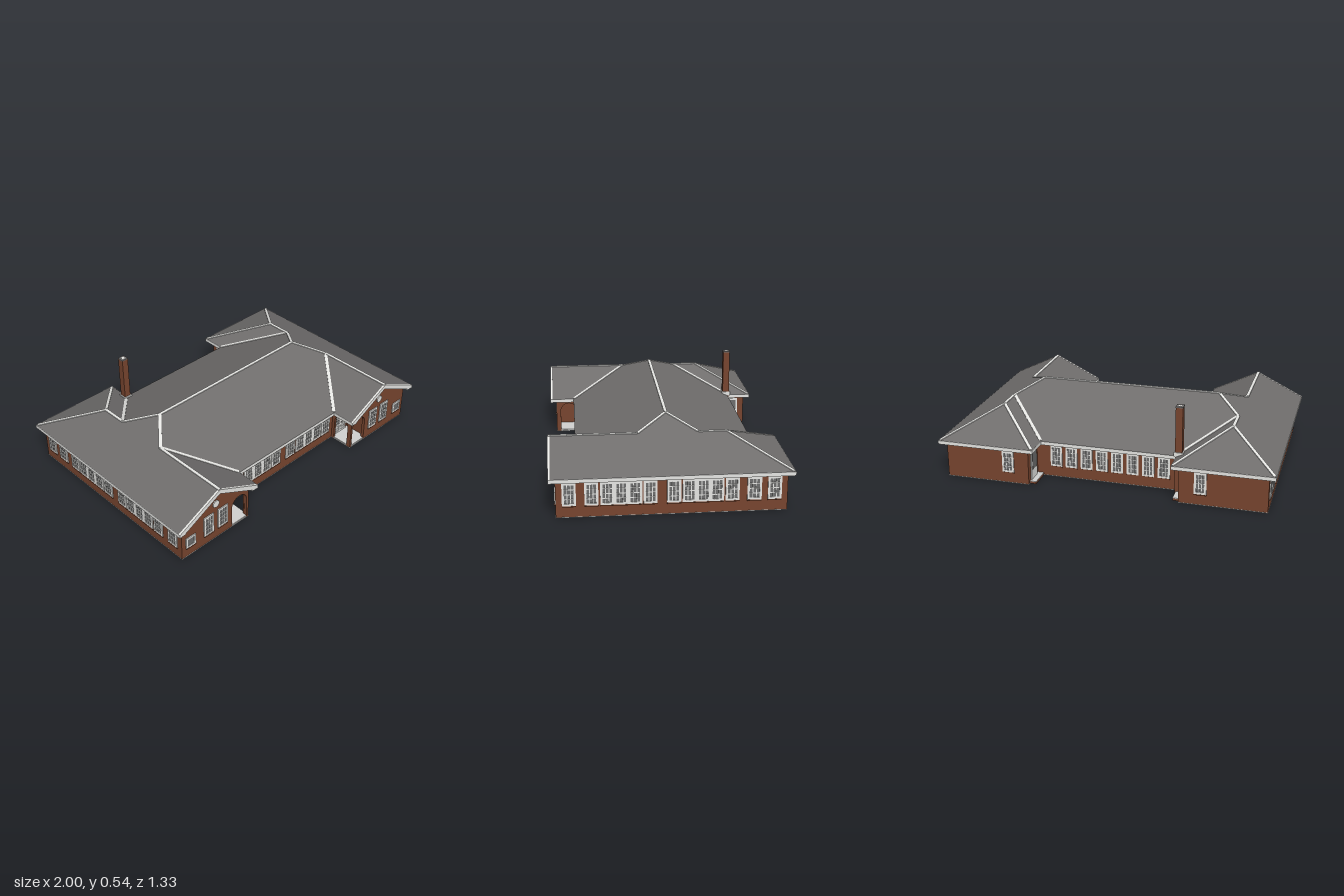
import * as THREE from 'three';

const mat = (name, color) => {
  const m = new THREE.MeshStandardMaterial({ color });
  m.name = name;
  return m;
};

export function createModel() {
  const brick = mat('brick', 0x78452f), trim = mat('trim', 0xe6e6e3);
  const roofing = mat('roofing', 0x706e6d), glass = mat('glass', 0x6d6d6d);
  const concrete = mat('concrete', 0xd2d2d0);
  roofing.side = THREE.DoubleSide;
  const root = new THREE.Group();
  root.name = 'building';

  const add = (name, geo, material, parent = root) => {
    const m = new THREE.Mesh(geo, material);
    m.name = name;
    parent.add(m);
    return m;
  };
  // Box given by its limits; limits may come in either order
  const box = (name, m, x0, x1, y0, y1, z0, z1, parent) => {
    const b = add(name, new THREE.BoxGeometry(Math.abs(x1 - x0), y1 - y0, Math.abs(z1 - z0)), m, parent);
    b.position.set((x0 + x1) / 2, (y0 + y1) / 2, (z0 + z1) / 2);
    return b;
  };
  const poly = pts => new THREE.Shape(pts.map(([x, y]) => new THREE.Vector2(x, y)));
  const rect = (x0, x1, y0, y1) => poly([[x0, y0], [x1, y0], [x1, y1], [x0, y1]]);
  const extrude = (shape, depth) => new THREE.ExtrudeGeometry(shape, { depth, bevelEnabled: false });
  // Points of a round arch from its right foot to its left foot
  const archPts = (cx, r, spring, foot) => {
    const pts = [[cx + r, foot]];
    for (let i = 0; i <= 14; i++) {
      const a = Math.PI * i / 14;
      pts.push([cx + r * Math.cos(a), spring + r * Math.sin(a)]);
    }
    pts.push([cx - r, foot]);
    return pts;
  };
  const panel = (name, x, y, z, ry) => {
    const g = new THREE.Group();
    g.name = name;
    g.position.set(x, y, z);
    g.rotation.y = ry;
    root.add(g);
    return g;
  };

  // Window: glass plate behind a frame with a grid of openings, on a brick sill
  const windowAt = (x, y, z, ry, w, h, cols = 3, rows = 4) => {
    const g = panel('window', x, y, z, ry);
    const f = 0.012, bar = 0.004;
    const s = rect(-w / 2, w / 2, -h / 2, h / 2);
    const cw = (w - 2 * f - bar * (cols - 1)) / cols, ch = (h - 2 * f - bar * (rows - 1)) / rows;
    for (let i = 0; i < cols; i++) for (let j = 0; j < rows; j++) {
      const px = -w / 2 + f + i * (cw + bar), py = -h / 2 + f + j * (ch + bar);
      s.holes.push(rect(px, px + cw, py, py + ch));
    }
    add('windowFrame', extrude(s, 0.006), trim, g);
    box('windowGlass', glass, -w / 2 + 0.002, w / 2 - 0.002, -h / 2 + 0.002, h / 2 - 0.002, 0, 0.003, g);
    box('windowSill', brick, -w / 2, w / 2, -h / 2 - 0.006, -h / 2, 0, 0.007, g);
  };
  // Row of windows along a wall; wide entries become three joined windows
  const windowRow = (spans, place) => spans.forEach(([a, b]) => {
    const n = Math.abs(b - a) > 0.15 ? 3 : 1, w = (b - a) / n;
    for (let i = 0; i < n; i++) place(a + w * (i + 0.5), Math.abs(w));
  });

  // Arched double door with fanlight
  const doorAt = (x, z, r) => {
    const g = panel('archedDoor', x, 0.012, z, 0), spring = 0.13;
    const s = poly(archPts(0, r, spring, 0));
    for (const d of [-1, 1]) {
      for (let i = 0; i < 2; i++) for (let j = 0; j < 3; j++) {
        const px = d * (0.009 + i * 0.02), py = 0.06 + j * 0.021;
        s.holes.push(rect(px, px + d * 0.014, py, py + 0.016));
      }
      s.holes.push(rect(d * 0.007, d * 0.046, 0.012, 0.05));
      box('doorPanel', trim, d * 0.011, d * 0.042, 0.016, 0.029, 0, 0.006, g);
      box('doorPanel', trim, d * 0.011, d * 0.042, 0.033, 0.046, 0, 0.006, g);
    }
    for (let k = 0; k < 4; k++) {
      const a0 = Math.PI * k / 4 + 0.06, a1 = Math.PI * (k + 1) / 4 - 0.06;
      const ring = [];
      for (let i = 0; i <= 4; i++) ring.push([a0 + (a1 - a0) * i / 4, r - 0.008]);
      ring.push([a1, 0.016], [a0, 0.016]);
      s.holes.push(poly(ring.map(([a, q]) => [q * Math.cos(a), spring + 0.003 + q * Math.sin(a)])));
    }
    add('doorLeaves', extrude(s, 0.008), trim, g);
    add('doorGlass', extrude(poly(archPts(0, r - 0.002, spring, 0.002)), 0.003), glass, g);
  };

  // Roof planes: outline in x,z lifted by a height rule
  const mainH = (x, z) => 0.4513 - 0.42 * Math.abs(z);
  const outerH = x => 0.38 - 0.4915 * (Math.abs(x) - 0.705);
  const innerH = x => 0.38 - 0.4915 * (0.705 - Math.abs(x));
  const hipH = (x, z) => 0.235 + 0.433 * (z + 0.665);
  const roofFace = (name, pts, h) => {
    const geo = new THREE.ShapeGeometry(poly(pts.map(([x, z]) => [x, -z])));
    const p = geo.attributes.position;
    for (let i = 0; i < p.count; i++) p.setXYZ(i, p.getX(i), h(p.getX(i), -p.getY(i)), -p.getY(i));
    geo.computeVertexNormals();
    add(name, geo, roofing);
  };
  // Light strip lying along a ridge, hip or valley
  const cap = (a, b, lift = 0.001) => {
    const A = new THREE.Vector3(...a), B = new THREE.Vector3(...b);
    const m = add('ridgeStrip', new THREE.BoxGeometry(0.019, 0.004, A.distanceTo(B)), trim);
    m.position.copy(A).lerp(B, 0.5);
    m.lookAt(B);
    m.position.y += lift;
  };

  // Central block
  box('mainWalls', brick, -0.5, 0.5, 0.003, 0.234, -0.475, 0.475);
  box('mainBase', concrete, -0.47, 0.47, 0, 0.004, -0.476, 0.476);
  for (const d of [-1, 1]) {
    roofFace('mainRoof', [[-0.56, 0], [0.56, 0], [0.705, d * 0.17], [0.41, d * 0.515],
      [-0.41, d * 0.515], [-0.705, d * 0.17]], mainH);
    box('mainEave', trim, -0.455, 0.455, 0.213, 0.235, d * 0.47, d * 0.515);
  }
  cap([-0.56, 0.4513, 0], [0.56, 0.4513, 0]);
  windowRow([[-0.42, -0.343], [-0.335, -0.11], [-0.105, -0.028], [0.02, 0.098], [0.108, 0.335], [0.342, 0.418]],
    (x, w) => windowAt(x, 0.135, 0.475, 0, w, 0.132));
  for (let i = 0; i < 8; i++) windowAt(-0.33 + i * 0.094, 0.135, -0.475, Math.PI, 0.072, 0.132);

  // Two mirrored wings
  const sideSpans = [[0.596, 0.52], [0.475, 0.4], [0.39, 0.164], [0.157, 0.082], [0.03, -0.046],
    [-0.054, -0.28], [-0.288, -0.364], [-0.407, -0.486], [-0.52, -0.596]];
  for (const s of [-1, 1]) {
    box('wingWalls', brick, s * 0.6, s * 0.96, 0.003, 0.234, -0.63, 0.615);
    box('wingInnerWalls', brick, s * 0.45, s * 0.61, 0.003, 0.234, -0.63, 0.475);
    box('wingBase', concrete, s * 0.449, s * 0.961, 0, 0.004, -0.631, 0.631);
    box('frieze', trim, s * 0.955, s * 0.963, 0.203, 0.215, -0.63, 0.63);

    // Gable wall with arched porch opening
    const gable = [[0.96, 0.003], [0.96, 0.245], [0.705, 0.37], [0.45, 0.245], [0.45, 0.003],
      ...archPts(0.522, 0.0575, 0.142, 0.003).reverse()];
    add('gableWall', extrude(poly(gable.map(([x, y]) => [s * x, y])), 0.02), brick).position.z = 0.61;

    // Porch: side arch, floor, ceiling and door
    const side = [[-0.475, 0.003], [-0.475, 0.235], [-0.612, 0.235], [-0.612, 0.003],
      ...archPts(-0.548, 0.053, 0.142, 0.003).reverse()];
    const arch = add('porchSideWall', extrude(poly(side), 0.015), brick);
    arch.rotation.y = Math.PI / 2;
    arch.position.x = s > 0 ? 0.45 : -0.465;
    box('porchFloor', concrete, s * 0.452, s * 0.6, 0.003, 0.012, 0.475, 0.628);
    box('porchCeiling', trim, s * 0.455, s * 0.6, 0.214, 0.224, 0.475, 0.615);
    doorAt(s * 0.522, 0.475, 0.057);

    // Gable windows and round vent
    windowAt(s * 0.895, 0.102, 0.63, 0, 0.072, 0.072, 1, 1);
    windowAt(s * 0.76, 0.135, 0.63, 0, 0.074, 0.136);
    windowAt(s * 0.654, 0.135, 0.63, 0, 0.074, 0.136);
    const vent = add('roundVent', new THREE.CylinderGeometry(0.023, 0.023, 0.008, 24), trim);
    vent.rotation.x = Math.PI / 2;
    vent.position.set(s * 0.705, 0.256, 0.632);

    // Side and back windows
    windowRow(sideSpans, (z, w) => windowAt(s * 0.96, 0.135, z, s * Math.PI / 2, w, 0.132));
    windowAt(s * 0.575, 0.135, -0.63, Math.PI, 0.072, 0.132);

    // Back door and landing in the inner corner
    box('backLanding', brick, s * 0.412, s * 0.45, 0, 0.012, -0.61, -0.475);
    box('landingTop', concrete, s * 0.412, s * 0.45, 0.012, 0.016, -0.61, -0.475);
    box('backDoor', trim, s * 0.444, s * 0.452, 0.016, 0.2, -0.59, -0.5);
    box('backDoorGlass', glass, s * 0.442, s * 0.45, 0.075, 0.188, -0.578, -0.512);

    // Wing roof
    roofFace('outerRoof', [[1, 0.665], [0.705, 0.665], [0.705, 0.17], [0.56, 0], [0.705, -0.17],
      [0.705, -0.33], [1, -0.665]].map(([x, z]) => [s * x, z]), outerH);
    roofFace('innerFrontRoof', [[0.705, 0.17], [0.705, 0.665], [0.41, 0.665], [0.41, 0.515]]
      .map(([x, z]) => [s * x, z]), innerH);
    roofFace('innerBackRoof', [[0.705, -0.17], [0.41, -0.515], [0.41, -0.665], [0.705, -0.33]]
      .map(([x, z]) => [s * x, z]), innerH);
    roofFace('hipRoof', [[s * 0.705, -0.33], [s * 0.41, -0.665], [s, -0.665]], hipH);

    // Eaves and gable rake board
    box('outerEave', trim, s * 0.955, s, 0.214, 0.236, -0.665, 0.665);
    box('backEave', trim, s * 0.41, s, 0.214, 0.236, -0.665, -0.625);
    box('innerBackEave', trim, s * 0.41, s * 0.455, 0.214, 0.236, -0.665, -0.47);
    box('innerFrontEave', trim, s * 0.41, s * 0.455, 0.214, 0.236, 0.47, 0.665);
    const rake = [[1, 0.214], [1, 0.236], [0.705, 0.381], [0.41, 0.236], [0.41, 0.214], [0.45, 0.222],
      [0.705, 0.352], [0.96, 0.222]];
    add('rakeBoard', extrude(poly(rake.map(([x, y]) => [s * x, y])), 0.012), trim).position.z = 0.655;

    // Ridge, hip and valley strips
    const peakF = [s * 0.705, 0.38, 0.17], peakB = [s * 0.705, 0.38, -0.17], hipTop = [s * 0.705, 0.38, -0.33];
    cap([s * 0.56, 0.4513, 0], peakF);
    cap([s * 0.56, 0.4513, 0], peakB);
    cap(peakF, [s * 0.412, 0.236, 0.512], 0.004);
    cap(peakB, [s * 0.412, 0.236, -0.512], 0.004);
    cap(peakF, [s * 0.705, 0.38, 0.664]);
    cap(peakB, hipTop);
    cap(hipTop, [s * 0.418, 0.238, -0.656]);
    cap(hipTop, [s * 0.992, 0.238, -0.656]);
  }

  // Chimney with roof flashing and cap
  box('chimney', brick, -0.446, -0.404, 0, 0.532, -0.524, -0.482);
  box('chimneyFlashing', trim, -0.453, -0.397, 0.236, 0.262, -0.53, -0.476);
  box('chimneyCap', roofing, -0.447, -0.403, 0.532, 0.539, -0.525, -0.481);
  box('chimneyFlue', trim, -0.434, -0.416, 0.534, 0.54, -0.512, -0.494);

  return root;
}
